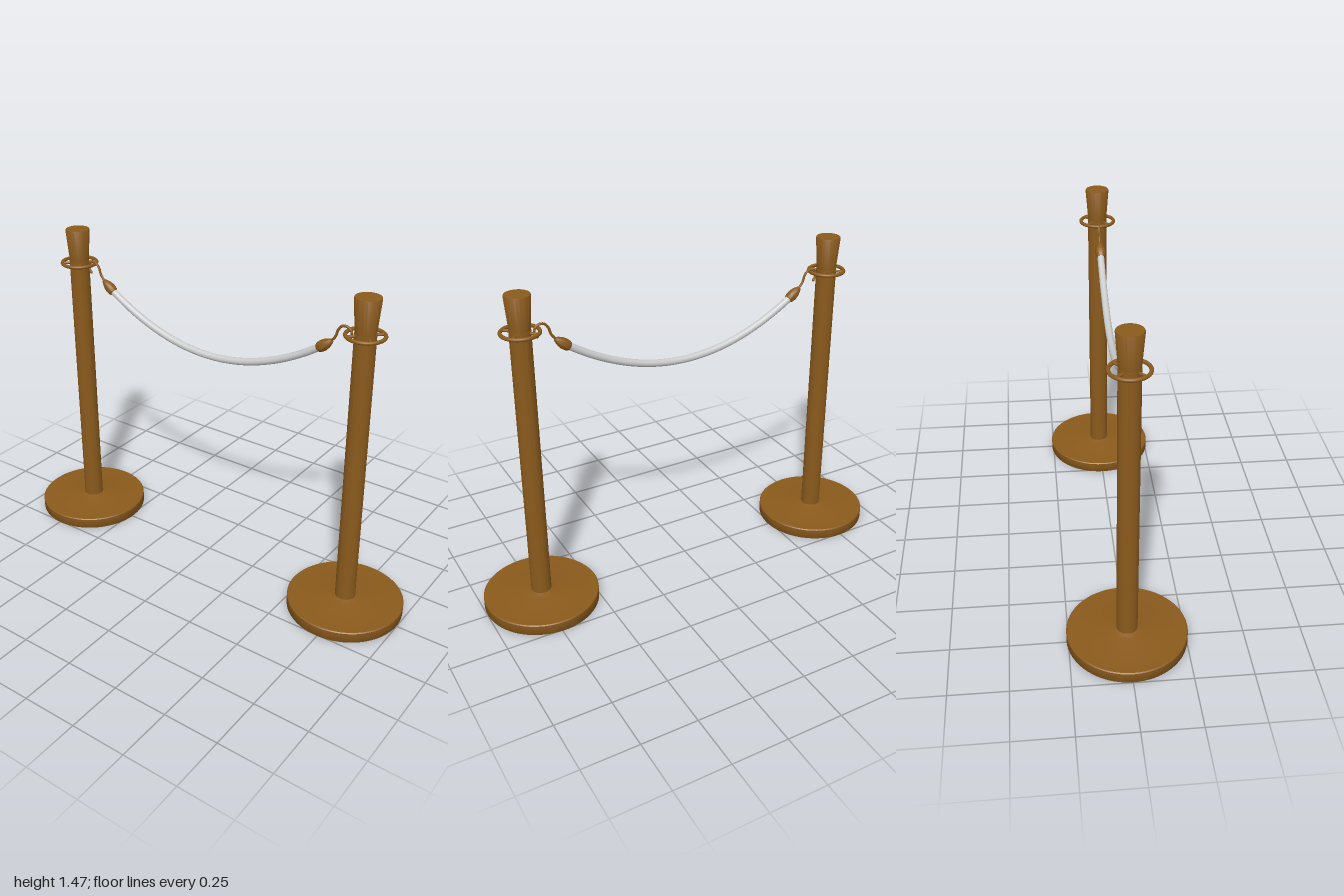
import * as THREE from 'three';
import { toCreasedNormals } from 'three/addons/utils/BufferGeometryUtils.js';

const brass = new THREE.MeshStandardMaterial({ color: 0x8a5a1c });
const grey = new THREE.MeshStandardMaterial({ color: 0xcccccc });

const POST_X = 0.742, RING_Y = 1.308;
const ROPE_END = 0.55, ROPE_LOW = 1.027, ROPE_RISE = 0.186;

function addMesh(parent, name, geometry, material = brass) {
  const mesh = new THREE.Mesh(geometry, material);
  mesh.name = name;
  parent.add(mesh);
  return mesh;
}

function lathe(points, segments = 48) {
  const profile = points.map(([r, y]) => new THREE.Vector2(r, y));
  return toCreasedNormals(new THREE.LatheGeometry(profile, segments), 0.6);
}

// Base, pole, flared cap and rope ring
function createPost() {
  const post = new THREE.Group();
  addMesh(post, 'base', lathe([
    [0, 0], [0.256, 0], [0.258, 0.003], [0.258, 0.047], [0.254, 0.051], [0.075, 0.052], [0.045, 0.062],
  ], 64));
  addMesh(post, 'pole', lathe([[0.045, 0.05], [0.045, 1.318], [0, 1.318]]));
  addMesh(post, 'cap', lathe([
    [0, 1.312], [0.043, 1.312], [0.055, 1.462], [0.053, 1.467], [0, 1.467],
  ]));

  const ring = addMesh(post, 'ropeRing', new THREE.TorusGeometry(0.079, 0.008, 12, 64));
  ring.rotation.x = Math.PI / 2;
  ring.position.y = RING_Y;

  // Four short spokes hold the ring to the pole
  for (let i = 0; i < 4; i++) {
    const angle = Math.PI / 4 + i * Math.PI / 2;
    const spoke = addMesh(post, 'ringSpoke', new THREE.CylinderGeometry(0.006, 0.006, 0.045, 12));
    spoke.rotation.set(0, -angle, Math.PI / 2);
    spoke.position.set(Math.cos(angle) * 0.058, RING_Y, Math.sin(angle) * 0.058);
  }
  return post;
}

// Hook and tapered ferrule for the rope end on the +x side
function createRopeEnd() {
  const end = new THREE.Group();
  const path = new THREE.CatmullRomCurve3([
    [0.672, 1.273], [0.682, 1.29], [0.679, 1.313], [0.66, 1.325], [0.638, 1.322],
    [0.622, 1.302], [0.614, 1.276], [0.602, 1.258], [0.586, 1.244],
  ].map(([x, y]) => new THREE.Vector3(x, y, 0)));
  addMesh(end, 'hook', new THREE.TubeGeometry(path, 48, 0.0055, 10));
  const tip = addMesh(end, 'hookTip', new THREE.SphereGeometry(0.0065, 12, 8));
  tip.position.copy(path.getPoint(0));

  const ferrule = addMesh(end, 'ferrule', lathe([
    [0, -0.037], [0.019, -0.037], [0.022, -0.03], [0.024, -0.012],
    [0.021, 0.008], [0.014, 0.026], [0.008, 0.037], [0, 0.038],
  ], 24));
  ferrule.position.set(0.568, 1.227, 0);
  ferrule.rotation.z = -0.91;
  return end;
}

export function createModel() {
  const model = new THREE.Group();
  model.name = 'ropeBarrier';

  for (const [side, turn] of [['left', 0], ['right', Math.PI]]) {
    const post = createPost();
    post.name = side + 'Post';
    post.position.x = turn ? -POST_X : POST_X;
    model.add(post);

    const end = createRopeEnd();
    end.name = side + 'RopeEnd';
    end.rotation.y = turn;
    model.add(end);
  }

  // Sagging rope
  const points = [];
  for (let i = 0; i <= 16; i++) {
    const t = i / 8 - 1;
    points.push(new THREE.Vector3(t * ROPE_END, ROPE_LOW + ROPE_RISE * t * t, 0));
  }
  addMesh(model, 'rope', new THREE.TubeGeometry(new THREE.CatmullRomCurve3(points), 80, 0.016, 20), grey);

  return model;
}
